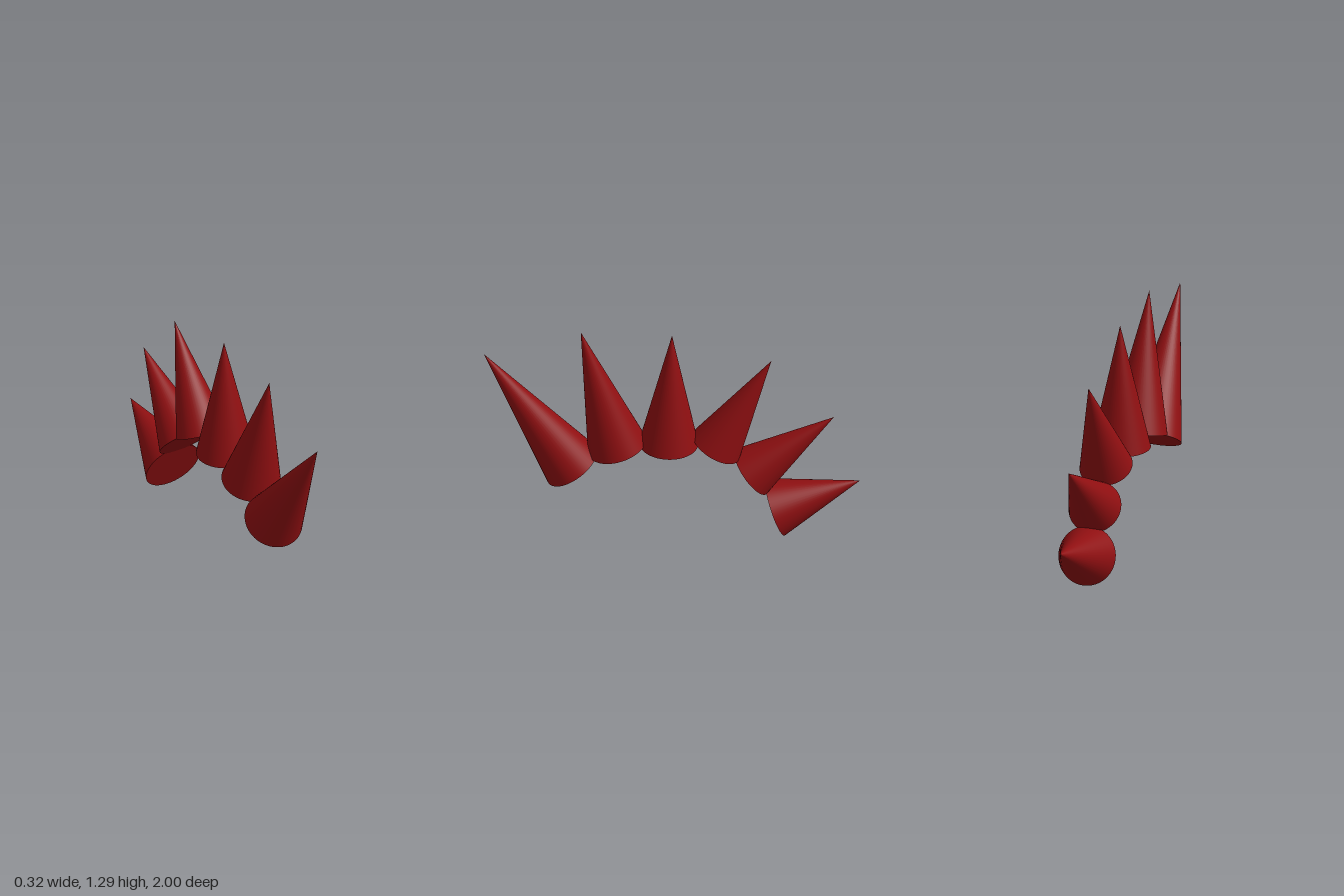
import * as THREE from 'three';

// Each spike: base centre and tip as [z, y] in the centre plane, plus base radius
const SPIKES = [
  { base: [0.53, 0.439], tip: [1.0, 1.157], radius: 0.16 },
  { base: [0.292, 0.558], tip: [0.485, 1.292], radius: 0.16 },
  { base: [0.018, 0.573], tip: [0.0, 1.265], radius: 0.158 },
  { base: [-0.234, 0.552], tip: [-0.528, 1.095], radius: 0.143 },
  { base: [-0.42, 0.384], tip: [-0.861, 0.73], radius: 0.145 },
  { base: [-0.55, 0.154], tip: [-1.0, 0.32], radius: 0.16 },
];

// Closed cone standing on its base point and aimed at its tip
function makeSpike({ base, tip, radius }, material) {
  const from = new THREE.Vector3(0, base[1], base[0]);
  const to = new THREE.Vector3(0, tip[1], tip[0]);
  const axis = to.clone().sub(from);
  const height = axis.length();
  const geometry = new THREE.ConeGeometry(radius, height, 48);
  geometry.translate(0, height / 2, 0);
  const spike = new THREE.Mesh(geometry, material);
  spike.position.copy(from);
  spike.quaternion.setFromUnitVectors(new THREE.Vector3(0, 1, 0), axis.normalize());
  return spike;
}

export function createModel() {
  const crimson = new THREE.MeshStandardMaterial({ color: 0x8f0f11 });
  crimson.name = 'crimson';

  // Arched row of spikes from front to back
  const model = new THREE.Group();
  model.name = 'spikeCrest';
  SPIKES.forEach((data, i) => {
    const spike = makeSpike(data, crimson);
    spike.name = `spike${i + 1}`;
    model.add(spike);
  });
  return model;
}
